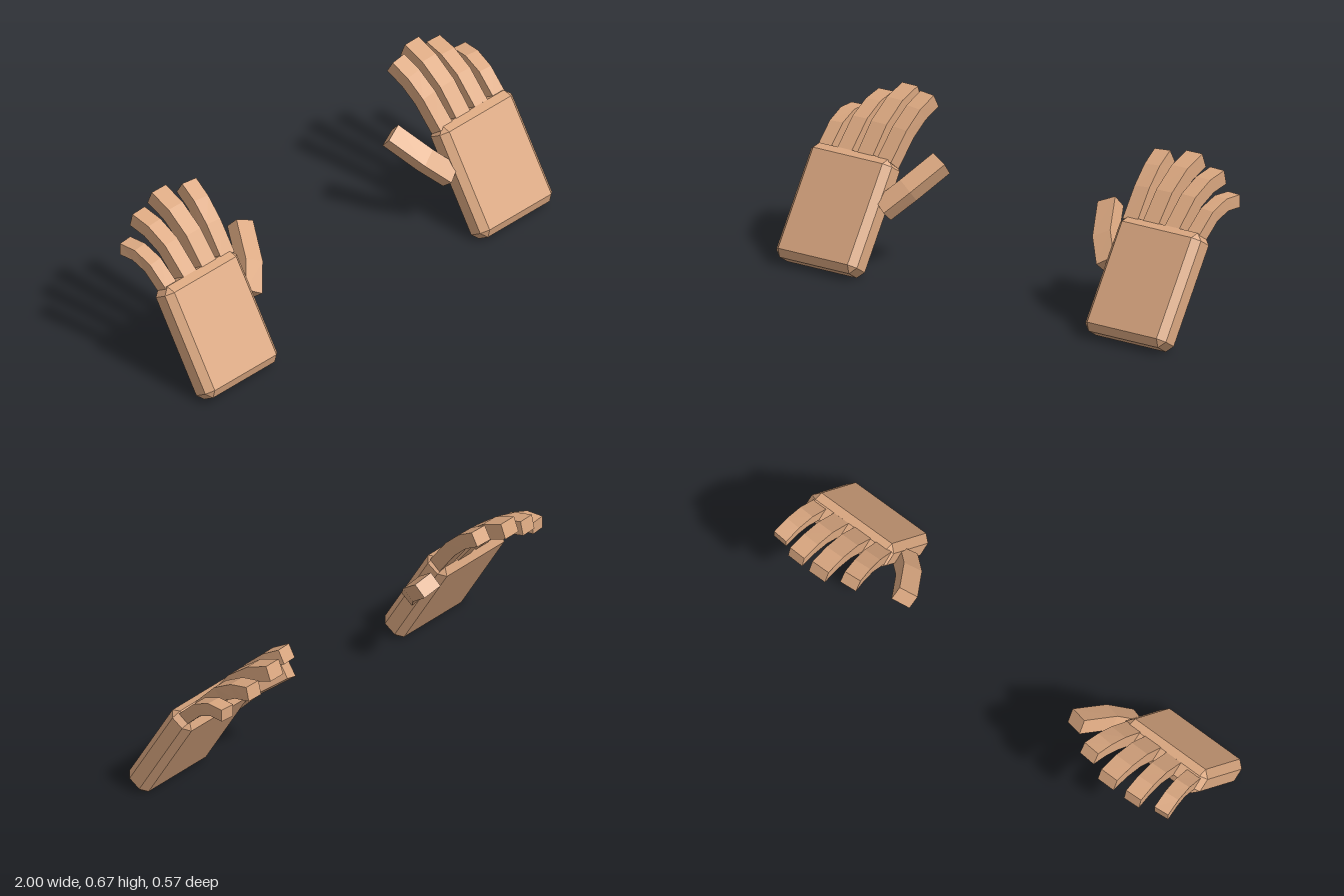
import * as THREE from 'three';
import { ConvexGeometry } from 'three/addons/geometries/ConvexGeometry.js';

const skin = new THREE.MeshStandardMaterial({ color: 0xdaa780, flatShading: true });

// Box with every edge chamfered: three corner points per box corner.
function chamferBox(w, h, d, c) {
  const points = [];
  for (const x of [-1, 1]) for (const y of [-1, 1]) for (const z of [-1, 1]) {
    for (let full = 0; full < 3; full++) {
      const size = [w, h, d].map((s, axis) => s / 2 - (axis === full ? 0 : c));
      points.push(new THREE.Vector3(x * size[0], y * size[1], z * size[2]));
    }
  }
  return new ConvexGeometry(points);
}

// Rectangular bar swept along a bent path, with mitred joints and closed ends.
function bentBar(path, across, width, depth) {
  const points = path.map((p) => new THREE.Vector3(...p));
  const last = points.length - 1;
  const positions = [];
  const index = [];
  const direction = (i) => points[i + 1].clone().sub(points[i]).normalize();
  points.forEach((p, i) => {
    const before = direction(Math.max(i - 1, 0));
    const after = direction(Math.min(i, last - 1));
    const miter = 1 / Math.sqrt((1 + before.dot(after)) / 2);
    const tangent = before.add(after).normalize();
    const side = across.clone().addScaledVector(tangent, -across.dot(tangent)).normalize();
    const normal = tangent.clone().cross(side);
    for (const [a, b] of [[-1, -1], [1, -1], [1, 1], [-1, 1]]) {
      const corner = p.clone()
        .addScaledVector(side, a * width / 2)
        .addScaledVector(normal, b * depth / 2 * miter);
      positions.push(corner.x, corner.y, corner.z);
    }
    if (i === last) return;
    for (let j = 0; j < 4; j++) {
      const a = i * 4 + j;
      const b = i * 4 + (j + 1) % 4;
      index.push(a, b, b + 4, a, b + 4, a + 4);
    }
  });
  const e = last * 4;
  index.push(0, 2, 1, 0, 3, 2, e, e + 1, e + 2, e, e + 2, e + 3);
  const indexed = new THREE.BufferGeometry();
  indexed.setAttribute('position', new THREE.Float32BufferAttribute(positions, 3));
  indexed.setIndex(index);
  const geometry = indexed.toNonIndexed();
  geometry.computeVertexNormals();
  return geometry;
}

// Base and tip x, cross-section, and the curled [y, z] path of each finger.
const fingers = [
  { name: 'indexFinger', x: [0.63, 0.602], size: [0.074, 0.062],
    path: [[0.425, 0.005], [0.538, -0.082], [0.605, -0.155], [0.647, -0.2285]] },
  { name: 'middleFinger', x: [0.732, 0.728], size: [0.08, 0.065],
    path: [[0.425, 0.002], [0.537, -0.087], [0.609, -0.181], [0.645, -0.2725]] },
  { name: 'ringFinger', x: [0.838, 0.848], size: [0.073, 0.061],
    path: [[0.425, 0.003], [0.534, -0.1], [0.581, -0.183], [0.6, -0.264]] },
  { name: 'littleFinger', x: [0.943, 0.961], size: [0.065, 0.053],
    path: [[0.42, 0.004], [0.501, -0.08], [0.532, -0.151], [0.532, -0.222]] },
];

function createHand(s) {
  const hand = new THREE.Group();
  const add = (name, geometry) => {
    const mesh = new THREE.Mesh(geometry, skin);
    mesh.name = name;
    hand.add(mesh);
    return mesh;
  };

  // Palm, leaning back
  const palm = add('palm', chamferBox(0.413, 0.49, 0.117, 0.029));
  palm.position.set(s * 0.791, 0.227, 0.1225);
  palm.rotation.x = -0.548;

  // Four curled, slightly fanned fingers
  for (const { name, x, size, path } of fingers) {
    const points = path.map(([y, z], i) =>
      [s * THREE.MathUtils.lerp(x[0], x[1], i / (path.length - 1)), y, z]);
    add(name, bentBar(points, new THREE.Vector3(1, 0, 0), ...size));
  }

  // Thumb on the inner side
  const thumbPath = [[s * 0.58, 0.265, 0.1], [s * 0.505, 0.345, 0.03], [s * 0.4325, 0.4425, -0.093]];
  add('thumb', bentBar(thumbPath, new THREE.Vector3(-0.9 * s, -0.36, 0.24), 0.083, 0.066));
  return hand;
}

export function createModel() {
  const model = new THREE.Group();
  model.name = 'pairOfHands';
  for (const [name, s] of [['leftHand', 1], ['rightHand', -1]]) {
    const hand = createHand(s);
    hand.name = name;
    model.add(hand);
  }
  return model;
}
